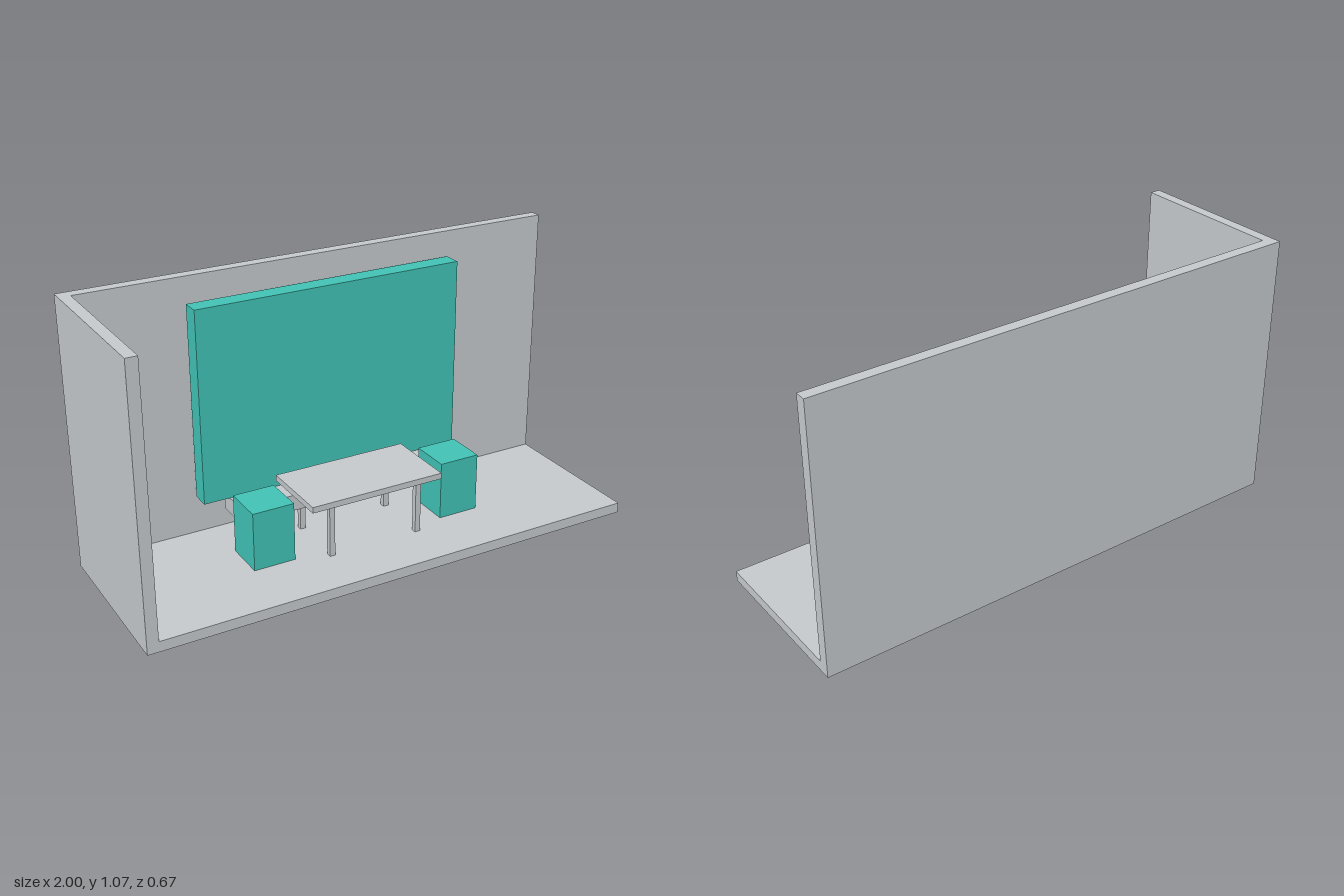
import * as THREE from 'three';

const grey = new THREE.MeshStandardMaterial({ color: 0xc4c8cb });
grey.name = 'light grey';
const teal = new THREE.MeshStandardMaterial({ color: 0x41c1b4 });
teal.name = 'teal';

// Box given by its limits along each axis
function block(name, material, [x0, x1], [y0, y1], [z0, z1]) {
  const mesh = new THREE.Mesh(new THREE.BoxGeometry(x1 - x0, y1 - y0, z1 - z0), material);
  mesh.position.set((x0 + x1) / 2, (y0 + y1) / 2, (z0 + z1) / 2);
  mesh.name = name;
  return mesh;
}

export function createModel() {
  const model = new THREE.Group();
  model.name = 'booth';
  const floorTop = 0.041, height = 1.067, depth = 0.333, wallFront = -0.288;

  // Open shell: floor, back wall and one side wall
  const shell = new THREE.Group();
  shell.name = 'shell';
  shell.add(
    block('floor', grey, [-1, 1], [0, floorTop], [-depth, depth]),
    block('backWall', grey, [-1, 1], [floorTop, height], [-depth, wallFront]),
    block('sideWall', grey, [-1, -0.956], [floorTop, height], [wallFront, depth])
  );
  model.add(shell);

  // Display panel with a shelf beneath it
  model.add(
    block('panel', teal, [-0.55, 0.55], [0.201, 0.97], [-0.269, -0.196]),
    block('shelf', grey, [-0.445, 0.445], [0.135, 0.2], [-0.246, -0.098])
  );

  // Table
  const table = new THREE.Group();
  table.name = 'table';
  table.add(block('tableTop', grey, [-0.275, 0.275], [0.252, 0.276], [-0.148, 0.148]));
  for (const sx of [-1, 1]) {
    for (const sz of [-1, 1]) {
      const x = sx * 0.185, z = sz * 0.118, r = 0.011;
      table.add(block('tableLeg', grey, [x - r, x + r], [floorTop, 0.252], [z - r, z + r]));
    }
  }
  model.add(table);

  // Cube stools at both ends of the table
  for (const s of [-1, 1]) {
    const x = s * 0.4, r = 0.083;
    model.add(block(s > 0 ? 'leftStool' : 'rightStool', teal, [x - r, x + r], [floorTop, 0.274], [-r, r]));
  }
  return model;
}
